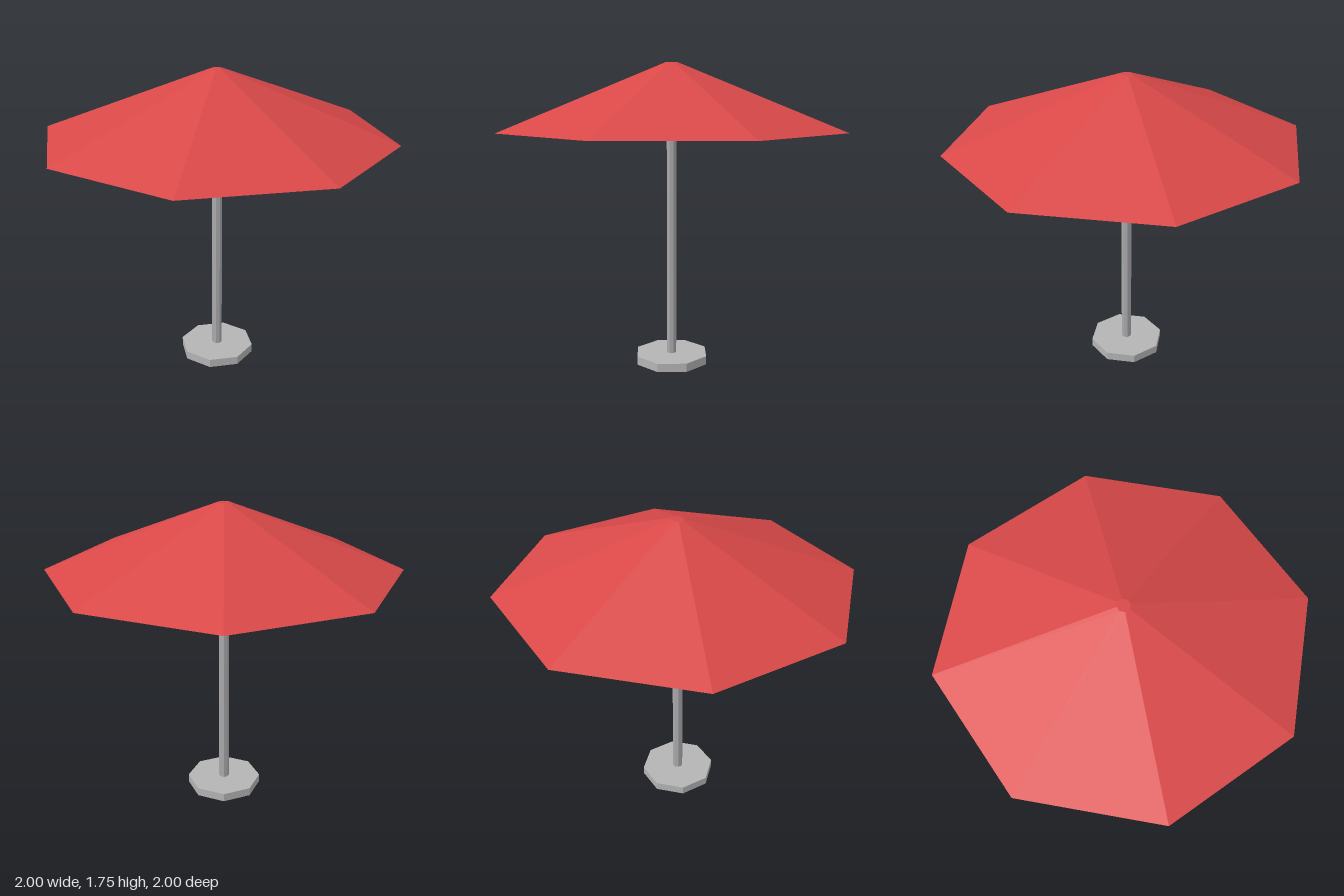
import * as THREE from 'three';

export function createModel() {
  const model = new THREE.Group();
  model.name = 'parasol';

  const material = (name, color) => {
    const m = new THREE.MeshStandardMaterial({ color, flatShading: true });
    m.name = name;
    return m;
  };
  const red = material('red canvas', 0xd94848);
  const baseGrey = material('light grey base', 0xb4b4b5);
  const poleGrey = material('grey metal', 0xaaaaad);

  // Eight-sided solid standing between two heights
  const addPart = (name, topRadius, bottomRadius, y0, y1, mat) => {
    const geometry = new THREE.CylinderGeometry(topRadius, bottomRadius, y1 - y0, 8);
    geometry.translate(0, (y0 + y1) / 2, 0);
    const mesh = new THREE.Mesh(geometry, mat);
    mesh.name = name;
    model.add(mesh);
  };

  addPart('base', 0.22, 0.22, 0, 0.05, baseGrey);
  addPart('pole', 0.03, 0.03, 0.05, 1.4, poleGrey);
  // Canopy with a closed, flat underside and a small flat top
  addPart('canopy', 0.035, 1, 1.38, 1.755, red);

  return model;
}
